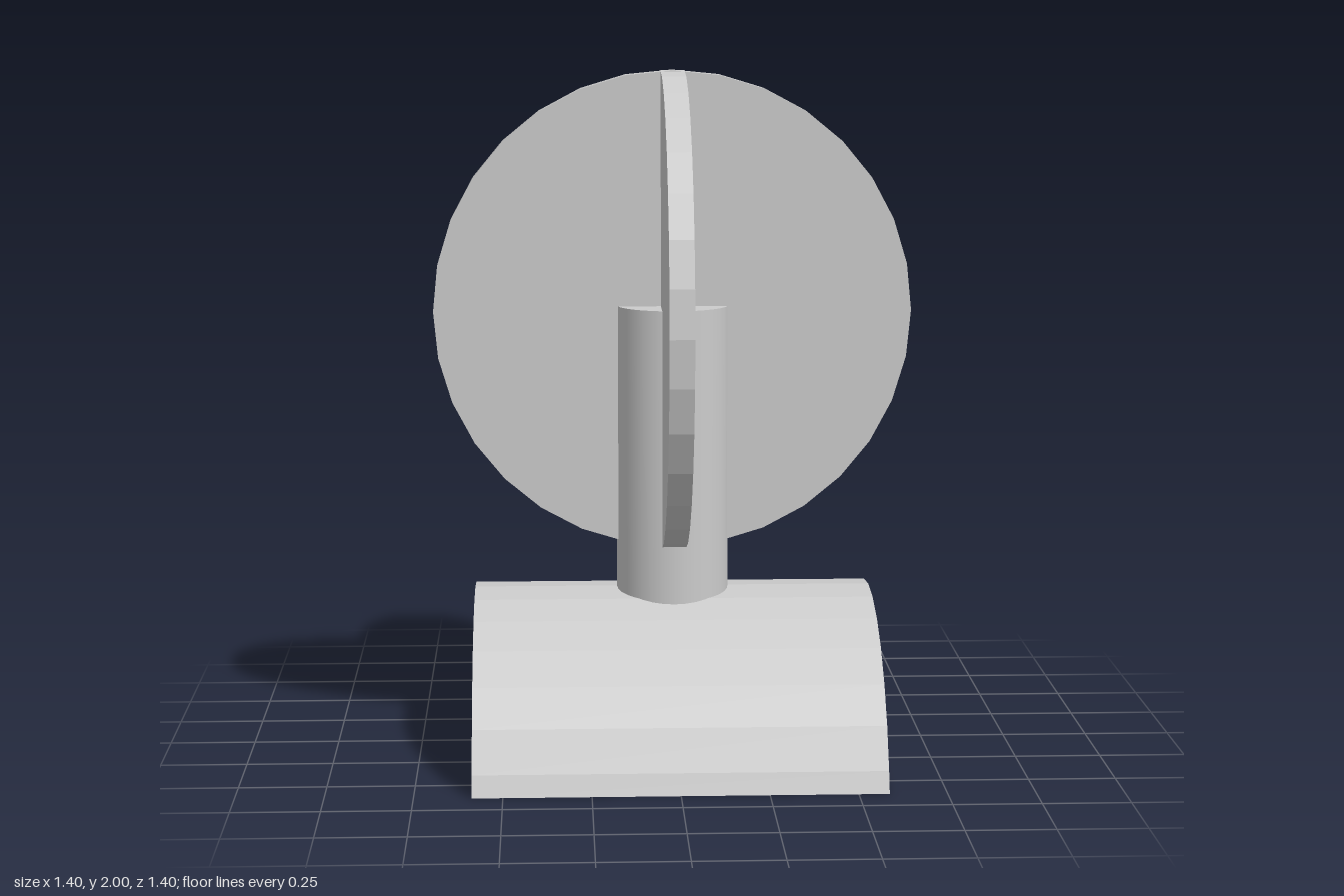
import * as THREE from 'three';

const material = new THREE.MeshStandardMaterial({ color: 0xcccccc, flatShading: true });
const smooth = new THREE.MeshStandardMaterial({ color: 0xcccccc });

function add(group, name, geometry, mat = material) {
  const mesh = new THREE.Mesh(geometry, mat);
  mesh.name = name;
  group.add(mesh);
  return mesh;
}

export function createModel() {
  const group = new THREE.Group();
  group.name = 'crossedDiscsOnStand';

  // Base: a segment of a 32-sided cylinder lying along x, cut flat at y = 0
  const radius = 0.664, centreY = -0.194, halfLength = 0.587;
  const profile = [new THREE.Vector2(0.636, 0)];
  for (let i = 6; i >= -6; i--) {
    const a = (i * Math.PI) / 16;
    profile.push(new THREE.Vector2(radius * Math.sin(a), centreY + radius * Math.cos(a)));
  }
  profile.push(new THREE.Vector2(-0.636, 0));
  const baseGeometry = new THREE.ExtrudeGeometry(new THREE.Shape(profile), {
    depth: halfLength * 2, bevelEnabled: false,
  });
  baseGeometry.translate(0, 0, -halfLength).rotateY(Math.PI / 2);
  add(group, 'base', baseGeometry);

  // Post: rises from inside the base to just above the disc centres
  const bottom = 0.4, top = 1.312;
  const post = add(group, 'post', new THREE.CylinderGeometry(0.165, 0.165, top - bottom, 32), smooth);
  post.position.y = (top + bottom) / 2;

  // Two upright discs crossing at right angles
  const discRadius = 0.702;
  ['frontDisc', 'sideDisc'].forEach((name, i) => {
    const geometry = new THREE.CylinderGeometry(discRadius, discRadius, 0.07, 32);
    geometry.rotateX(Math.PI / 2).rotateY((i * Math.PI) / 2);
    add(group, name, geometry).position.y = 2 - discRadius;
  });

  return group;
}
